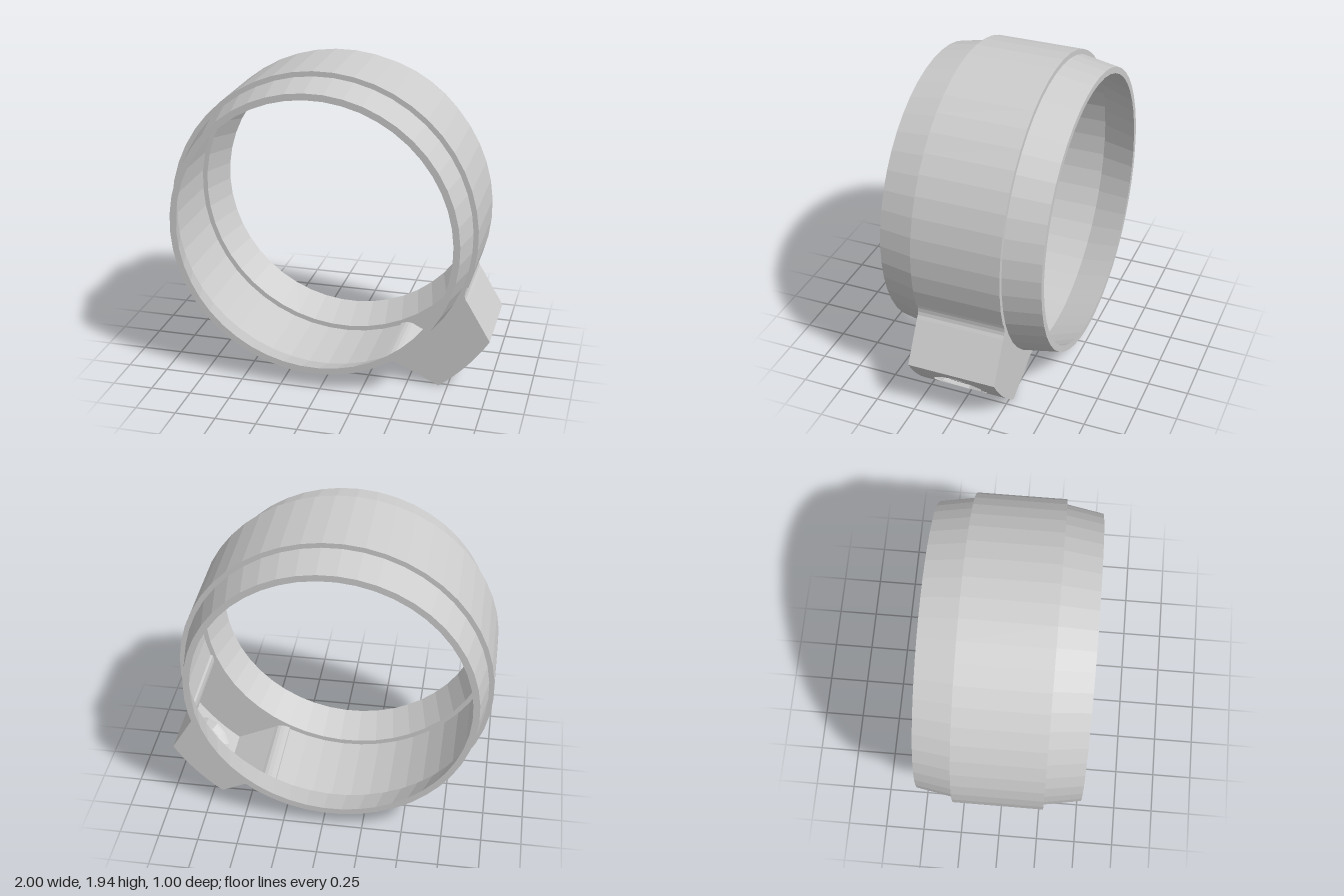
import * as THREE from 'three';

const OUTER = 0.956, NECK = 0.925; // band radius, radius where the collars start
const FACE = 1.232, HALF = 0.185; // housing face radius and half angle
const EDGE = 0.275; // half depth of the band
const SCREW = 0.17; // radius of the screw opening

const polar = (r, a) => new THREE.Vector2(r * Math.cos(a), r * Math.sin(a));
const arc = (r, a0, a1, n) => Array.from({ length: n + 1 }, (_, i) => polar(r, a0 + (a1 - a0) * i / n));

// Band outline: side of the housing, the long way round the ring, mirrored side
function bandOutline() {
  const side = [[1.211, 0.2266], [0.943, 0.309], [0.92, 0.314], [0.901, 0.326], [0.884, 0.345], [0.874, 0.362], [0.868, 0.373], [0.875, 0.385]];
  const up = side.map(([x, y]) => new THREE.Vector2(x, y));
  const down = side.map(([x, y]) => new THREE.Vector2(x, -y)).reverse();
  const a = up[up.length - 1].angle();
  return [...up, ...arc(OUTER, a, 2 * Math.PI - a, 42).slice(1, -1), ...down];
}

// Moves every vertex by a rule
function reshape(geometry, place) {
  const p = geometry.attributes.position;
  for (let i = 0; i < p.count; i++) p.setXYZ(i, ...place(p.getX(i), p.getY(i), p.getZ(i)));
  geometry.computeVertexNormals();
  return geometry;
}

function faceted(geometry) {
  const g = geometry.toNonIndexed();
  g.computeVertexNormals();
  return g;
}

const lathe = (points, segments) =>
  faceted(new THREE.LatheGeometry(points.map(p => new THREE.Vector2(...p)), segments));

export function createModel() {
  const metal = new THREE.MeshStandardMaterial({ color: 0xcccccc, side: THREE.DoubleSide });
  metal.name = 'grey metal';
  const model = new THREE.Group();
  model.name = 'ringClamp';
  const clamp = new THREE.Group();
  clamp.name = 'clamp';
  clamp.position.set(-0.047, 0.985, 0);
  clamp.rotation.z = THREE.MathUtils.degToRad(-42.4);
  model.add(clamp);

  const add = (name, geometry) => {
    const mesh = new THREE.Mesh(geometry, metal);
    mesh.name = name;
    clamp.add(mesh);
    return mesh;
  };

  // Thin band with the sides of the hollow housing
  const outline = bandOutline(), n = outline.length - 1;
  add('band', faceted(reshape(new THREE.PlaneGeometry(1, 1, n, 1), (x, y) => {
    const p = outline[Math.round((x + 0.5) * n)];
    return [p.x, p.y, -y * 2 * EDGE];
  })));

  // Flat plates closing the band and the housing
  const plate = new THREE.Shape([...outline, ...arc(FACE, -HALF, HALF, 12).slice(1, -1)]);
  plate.holes.push(new THREE.Path(arc(NECK, 0, 2 * Math.PI, 48).slice(0, -1)));
  for (const s of [1, -1]) {
    const side = add('sidePlate', new THREE.ShapeGeometry(plate));
    side.position.z = s * EDGE;
    if (s < 0) reshape(side.geometry, (x, y, z) => [x, y, z]);
  }

  // Tapered collars front and back, thickening towards the lip
  const collar = [[NECK, EDGE], [0.885, 0.5], [0.845, 0.5], [NECK, EDGE]];
  for (const s of [1, -1]) add(s > 0 ? 'frontCollar' : 'backCollar', lathe(collar, 48).rotateX(s * Math.PI / 2));

  // Curved housing face, spread from the twelve-sided opening to the rectangular rim
  const width = HALF * FACE, step = Math.PI / 6;
  add('housingFace', reshape(new THREE.PlaneGeometry(1, 1, 48, 4), (x, y) => {
    const a = (x + 0.5) * 2 * Math.PI, t = y + 0.5;
    const c = Math.cos(a), s = Math.sin(a);
    const square = 1 / Math.max(Math.abs(c), Math.abs(s));
    const hole = SCREW * Math.cos(step / 2) / Math.cos((a % step) - step / 2);
    const v = THREE.MathUtils.lerp(hole * c, width * square * c, t);
    const z = THREE.MathUtils.lerp(hole * s, EDGE * square * s, t);
    return [FACE * Math.cos(v / FACE), FACE * Math.sin(v / FACE), z];
  }));

  // Screw pocket and rounded head
  const screw = [[SCREW, 1.222], [0.158, 1.165], [0.148, 1.175], [0.12, 1.2], [0.1, 1.205]];
  add('screwHead', lathe(screw, 12).rotateZ(-Math.PI / 2));

  // Top of the head with a hexagonal socket
  const cap = new THREE.Shape(arc(0.1, 0, 2 * Math.PI, 12).slice(0, -1));
  cap.holes.push(new THREE.Path(arc(0.062, 0, 2 * Math.PI, 6).slice(0, -1)));
  add('screwTop', reshape(new THREE.ShapeGeometry(cap), (v, z) => [1.205, v, z]));
  const socket = lathe([[0.062, 1.205], [0.055, 1.16], [0, 1.16]], 6);
  add('screwSocket', socket.rotateX(0).rotateY(Math.PI / 2).rotateZ(-Math.PI / 2));

  return model;
}
